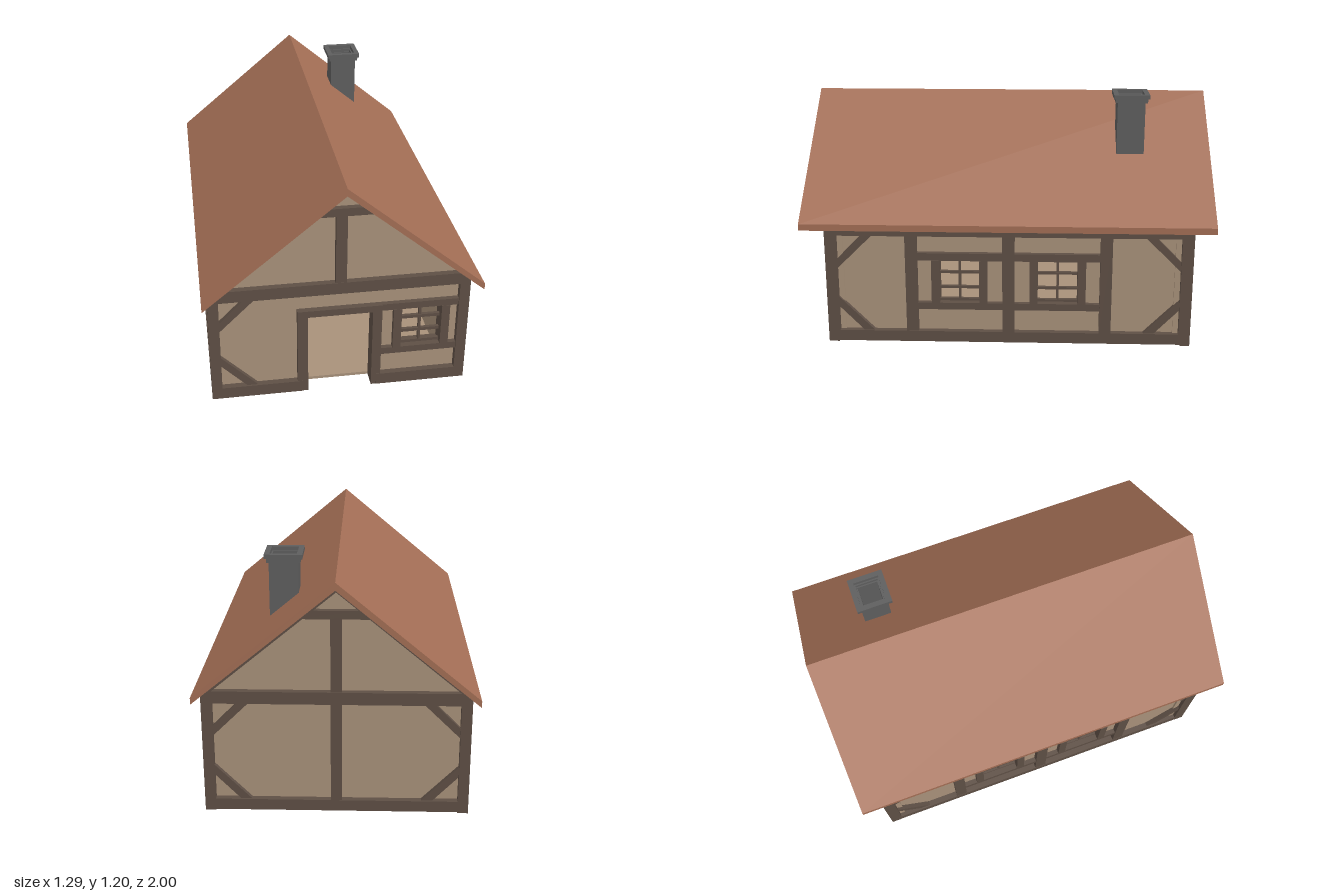
import * as THREE from 'three';

const mat = (name, color) => {
  const m = new THREE.MeshStandardMaterial({ color });
  m.name = name;
  return m;
};

export function createModel() {
  const timber = mat('dark timber', 0x5e4f45);
  const plaster = mat('tan plaster', 0xa8917a);
  const tile = mat('clay roof', 0xa36e55);
  const stone = mat('grey stone', 0x5e5e5e);

  const W = 0.62, L = 0.8925, ZC = -0.0075; // half width, half length, body centre
  const RIDGE = 1.122, PITCH = 0.83;        // underside of the roof
  const under = (x) => RIDGE - PITCH * Math.abs(x);
  const pts = (a) => a.map(([x, y]) => new THREE.Vector2(x, y));
  const rect = (u0, u1, v0, v1) => [[u0, v0], [u1, v0], [u1, v1], [u0, v1]];

  const model = new THREE.Group();
  model.name = 'timberFramedHouse';

  // Prism of an outline, standing between two depths
  function slab(parent, name, material, outline, z0, z1, holes = []) {
    const shape = new THREE.Shape(pts(outline));
    holes.forEach((h) => shape.holes.push(new THREE.Path(pts(h))));
    const geo = new THREE.ExtrudeGeometry(shape, { depth: z1 - z0, bevelEnabled: false });
    geo.translate(0, 0, z0);
    const mesh = new THREE.Mesh(geo, material);
    mesh.name = name;
    parent.add(mesh);
    return mesh;
  }

  // A side of the house: local x along the wall, local z outward, z = 0 on the timber face
  function side(name, angle, dist) {
    const g = new THREE.Group();
    g.name = name;
    g.rotation.y = angle;
    g.position.set(Math.sin(angle) * dist, 0, Math.cos(angle) * dist + ZC);
    model.add(g);
    return g;
  }
  const beam = (g, name, u0, u1, v0, v1, back = -0.05, front = 0) =>
    slab(g, name, timber, rect(u0, u1, v0, v1), back, front);
  const panel = (g, outline, holes) => slab(g, 'wallPanel', plaster, outline, -0.085, -0.03, holes);

  // Diagonal braces in the corner at u, running inward along s
  function braces(g, u, s) {
    slab(g, 'upperBrace', timber, [[u, 0.385], [u, 0.433], [u + s * 0.12, 0.555], [u + s * 0.172, 0.555]], -0.05, -0.008);
    slab(g, 'lowerBrace', timber, [[u, 0.235], [u, 0.185], [u + s * 0.12, 0.06], [u + s * 0.172, 0.06]], -0.05, -0.008);
  }

  // Jambs and glazing bars around an opening centred on c
  function windowFrame(g, c, bar) {
    const h = 0.097, lo = 0.21, hi = 0.43;
    for (const s of [-1, 1]) {
      const a = c + s * h, b = c + s * (h + 0.04);
      beam(g, 'windowJamb', Math.min(a, b), Math.max(a, b), lo, hi, -0.085, -0.004);
    }
    beam(g, 'windowMullion', c - 0.006, c + 0.006, lo, hi, -0.055, -0.038);
    for (const y of [0.217, 0.282, 0.36, 0.424])
      beam(g, 'windowBar', c - h, c + h, y - bar, y + bar, -0.052, -0.036);
  }
  const windowHole = (c) => rect(c - 0.105, c + 0.105, 0.2, 0.44);

  // Gable timbers shared by the front and back
  function gable(g) {
    for (const s of [-1, 1]) {
      beam(g, 'cornerPost', s > 0 ? 0.57 : -W, s > 0 ? W : -0.57, 0, 0.6);
      slab(g, 'rafter', timber, [[s * W, 0.6], [s * W, under(W)], [0, RIDGE], [0, 1.085], [s * 0.57, 0.61]], -0.05, 0);
    }
    beam(g, 'tieBeam', -W, W, 0.55, 0.61);
    slab(g, 'collarBeam', timber, [[-0.155, 0.96], [0.155, 0.96], [0.108, 1.0], [-0.108, 1.0]], -0.05, -0.002);
    beam(g, 'kingPost', -0.026, 0.026, 0.61, 0.965, -0.05, -0.002);
  }
  const eave = 0.6;
  const gableTop = [[eave, under(eave)], [0, RIDGE], [-eave, under(eave)]];

  // Front with doorway and window
  const front = side('frontSide', 0, L);
  panel(front, [[-eave, 0], [-0.165, 0], [-0.165, 0.44], [0.165, 0.44], [0.165, 0], [eave, 0], ...gableTop], [windowHole(0.393)]);
  gable(front);
  beam(front, 'sillBeam', -W, -0.18, 0, 0.06);
  beam(front, 'sillBeam', 0.18, W, 0, 0.06);
  beam(front, 'doorPost', -0.205, -0.155, 0, 0.45, -0.085, -0.002);
  beam(front, 'doorPost', 0.155, 0.2, 0, 0.45, -0.085, -0.002);
  beam(front, 'doorLintel', -0.205, 0.2, 0.43, 0.465, -0.085);
  beam(front, 'windowLintel', 0.2, 0.58, 0.43, 0.465, -0.085, -0.006);
  beam(front, 'windowSill', 0.2, 0.58, 0.175, 0.21, -0.085, -0.006);
  windowFrame(front, 0.393, 0.008);
  braces(front, -0.57, 1);

  // Back with a full-height middle post
  const back = side('backSide', Math.PI, L);
  panel(back, [[-eave, 0], [eave, 0], ...gableTop]);
  gable(back);
  beam(back, 'sillBeam', -W, W, 0.005, 0.06);
  beam(back, 'middlePost', -0.026, 0.026, 0.06, 0.55, -0.05, -0.002);
  for (const s of [-1, 1]) braces(back, s * 0.57, -s);

  // Long sides, each with two windows
  for (const [name, dir] of [['leftSide', 1], ['rightSide', -1]]) {
    const g = side(name, dir * Math.PI / 2, W);
    const centres = [-0.24, 0.24];
    panel(g, rect(-0.86, 0.86, 0, 0.61), centres.map(windowHole));
    beam(g, 'sillBeam', -L, L, 0.005, 0.06);
    beam(g, 'wallPlate', -L, L, 0.555, 0.605);
    beam(g, 'middlePost', -0.03, 0.03, 0.06, 0.56, -0.05, -0.002);
    for (const s of [-1, 1]) {
      const span = (a, b) => [Math.min(s * a, s * b), Math.max(s * a, s * b)];
      beam(g, 'cornerPost', ...span(0.835, L), 0.005, 0.6);
      beam(g, 'bayPost', ...span(0.445, 0.503), 0.06, 0.56, -0.05, -0.002);
      beam(g, 'windowSill', ...span(0.03, 0.45), 0.175, 0.21, -0.085, -0.006);
      beam(g, 'windowLintel', ...span(0.03, 0.45), 0.43, 0.468, -0.085, -0.006);
      windowFrame(g, s * 0.24, 0.006);
      braces(g, s * 0.835, -s);
    }
  }

  // Floor, stopping short of the doorway
  const floor = new THREE.Mesh(new THREE.BoxGeometry(1.1, 0.015, 1.62), plaster);
  floor.name = 'floor';
  floor.position.set(0, 0.0075, ZC);
  model.add(floor);

  // Roof
  slab(model, 'roof', tile, [[0, 1.16], [-0.647, 0.62], [-0.647, 0.588], [0, 1.124], [0.647, 0.588], [0.647, 0.62]], -1, 1);

  // Chimney: square rings stacked upward, the foot cut along the roof slope
  const chimney = new THREE.Group();
  chimney.name = 'chimney';
  chimney.position.set(0.2475, 0, -0.603);
  model.add(chimney);
  function ring(name, half, hole, y0, y1) {
    const m = slab(chimney, name, stone, rect(-half, half, -half, half), 0, y1 - y0, [rect(-hole, hole, -hole, hole)]);
    m.geometry.rotateX(-Math.PI / 2).translate(0, y0, 0);
    return m;
  }
  const shaft = ring('chimneyShaft', 0.068, 0.05, 0.9, 1.16);
  const p = shaft.geometry.attributes.position;
  for (let i = 0; i < p.count; i++)
    if (p.getY(i) < 1) p.setY(i, 1.15 - 0.835 * (p.getX(i) + 0.2475));
  shaft.geometry.computeVertexNormals();
  ring('chimneyCollar', 0.079, 0.056, 1.155, 1.176);
  ring('chimneyCap', 0.088, 0.063, 1.175, 1.196);

  return model;
}
